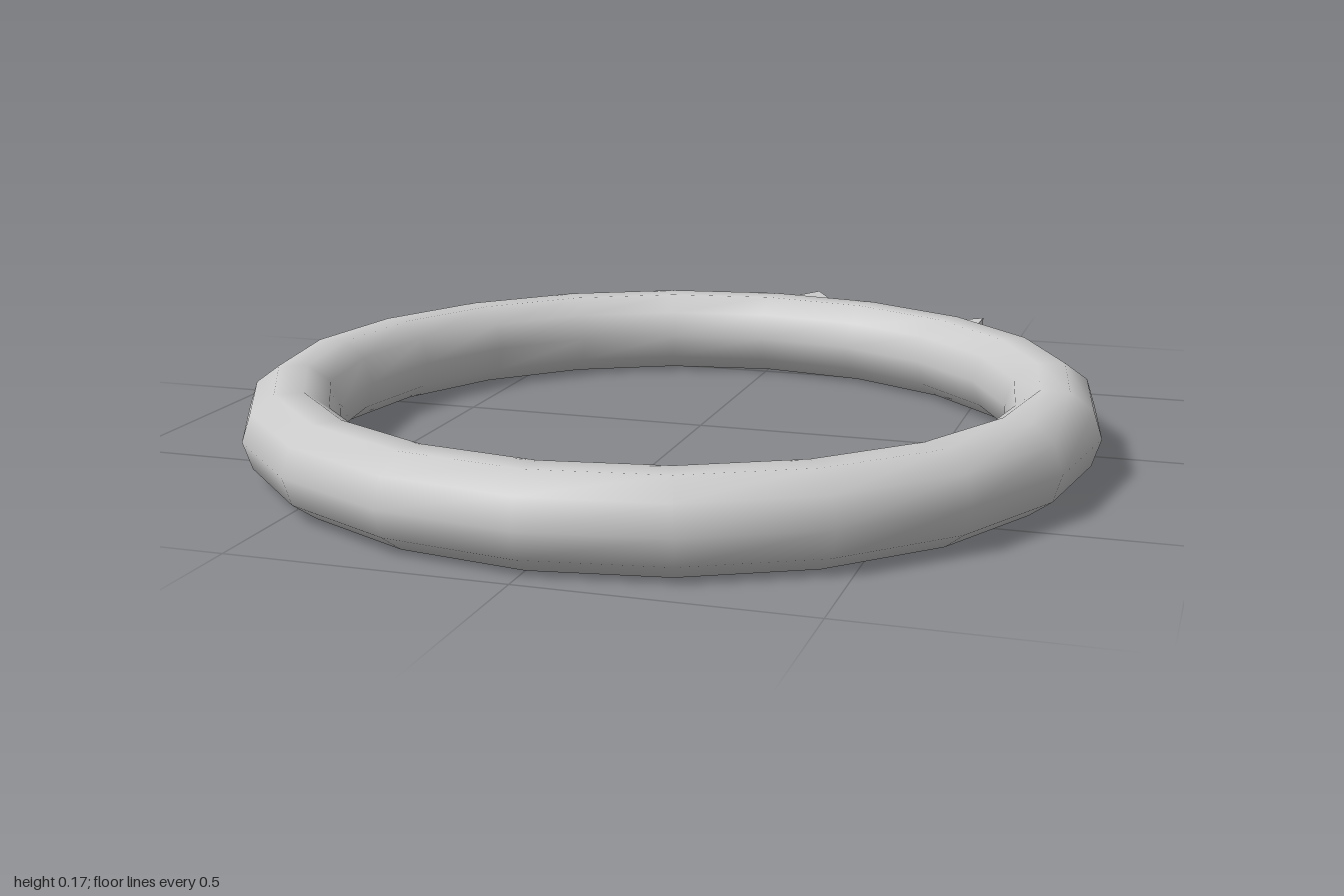
import * as THREE from 'three';

const material = new THREE.MeshStandardMaterial({ color: 0xcccccc });
const MID = 0.083; // half height of the band

// Flat five-pointed star lying in the xz plane; turn is clockwise seen from above
function star(name, x, z, outer, inner, thickness, turn) {
  const points = [];
  for (let i = 0; i < 10; i++) {
    const r = i % 2 ? inner : outer;
    const a = turn + (i * Math.PI) / 5;
    points.push(new THREE.Vector2(r * Math.sin(a), r * Math.cos(a)));
  }
  const geometry = new THREE.ExtrudeGeometry(new THREE.Shape(points), { depth: thickness, bevelEnabled: false });
  geometry.translate(0, 0, -thickness / 2);
  geometry.rotateX(-Math.PI / 2);
  const mesh = new THREE.Mesh(geometry, material);
  mesh.name = name;
  mesh.position.set(x, MID, z);
  return mesh;
}

export function createModel() {
  const group = new THREE.Group();
  group.name = 'starRing';

  // Band: smooth-shaded torus with a ten-sided section and twenty segments
  const bandGeometry = new THREE.TorusGeometry(0.7275, 0.0875, 10, 20);
  bandGeometry.rotateX(-Math.PI / 2);
  const band = new THREE.Mesh(bandGeometry, material);
  band.name = 'band';
  band.position.set(0, MID, 0.178);
  group.add(band);

  // Large middle star and a mirrored pair of small ones
  group.add(star('centreStar', 0, -0.793, 0.207, 0.11, 0.02, 0));
  const tilt = THREE.MathUtils.degToRad(27);
  for (const side of [1, -1]) {
    group.add(star(side > 0 ? 'leftStar' : 'rightStar', side * 0.378, -0.671, 0.144, 0.072, 0.016, side * tilt));
  }
  return group;
}
